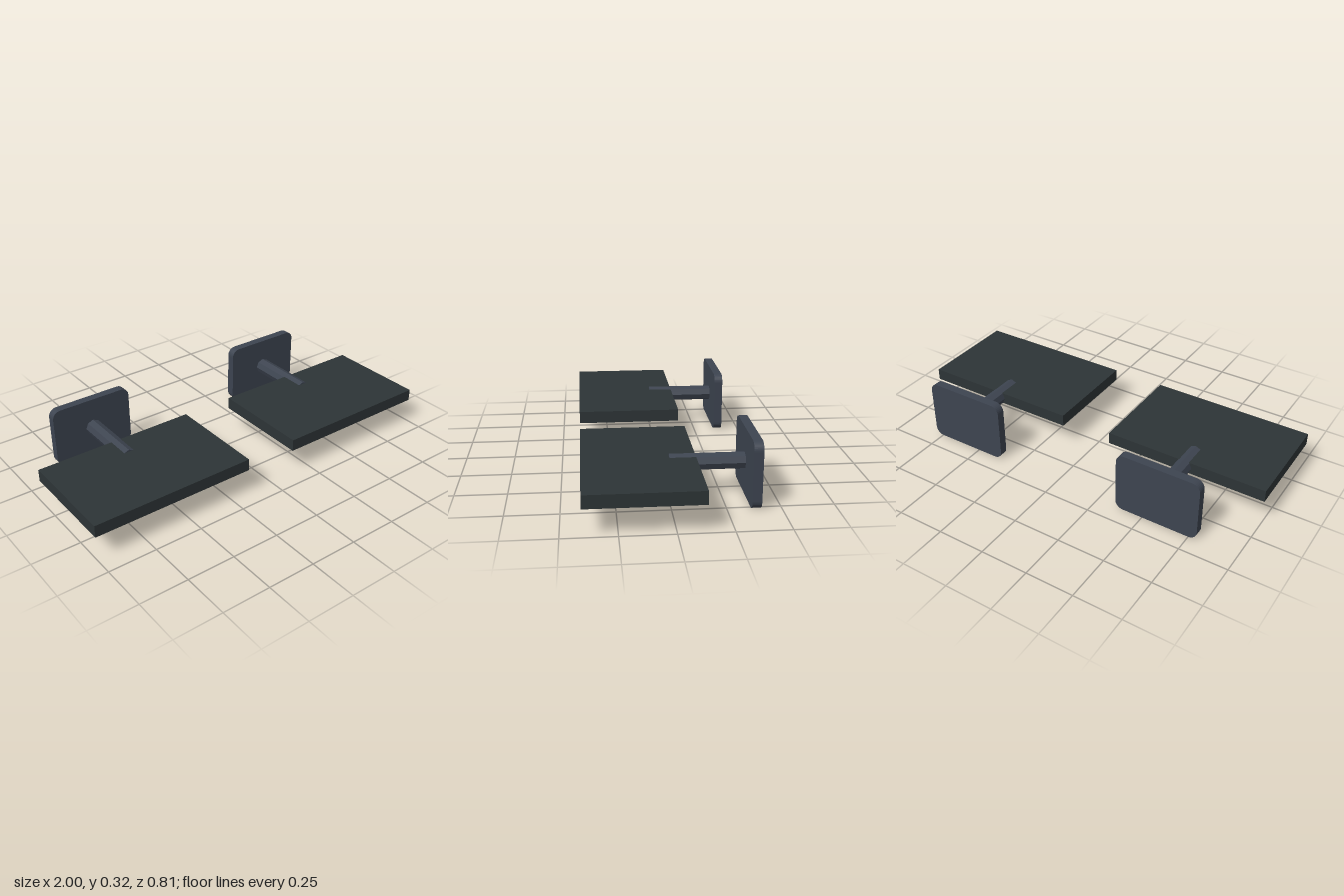
import * as THREE from 'three';

const material = (color) => new THREE.MeshStandardMaterial({ color, flatShading: true });

function box(name, size, position, mat) {
  const mesh = new THREE.Mesh(new THREE.BoxGeometry(...size), mat);
  mesh.name = name;
  mesh.position.set(...position);
  return mesh;
}

// Rounded rectangle centred on the origin
function roundedRect(w, h, r) {
  const x = w / 2, y = h / 2, s = new THREE.Shape();
  s.absarc(x - r, y - r, r, 0, Math.PI / 2);
  s.absarc(-x + r, y - r, r, Math.PI / 2, Math.PI);
  s.absarc(-x + r, -y + r, r, Math.PI, Math.PI * 1.5);
  s.absarc(x - r, -y + r, r, Math.PI * 1.5, Math.PI * 2);
  s.closePath();
  return s;
}

export function createModel() {
  const model = new THREE.Group();
  model.name = 'monitorPair';
  const casing = material(0x2d3436);
  const stand = material(0x3d4450);
  const glass = material(0x3f82c8);

  for (const side of [-1, 1]) {
    const monitor = new THREE.Group();
    monitor.name = side > 0 ? 'leftMonitor' : 'rightMonitor';
    monitor.position.x = side * 0.571;

    // Flat casing with the display on its underside
    monitor.add(box('casing', [0.858, 0.063, 0.535], [0, 0.1615, 0.1375], casing));
    monitor.add(box('screen', [0.766, 0.016, 0.437], [0, 0.123, 0.139], glass));

    // Eight-sided neck running back to the base
    const neck = new THREE.Mesh(new THREE.CylinderGeometry(0.042, 0.042, 0.365, 8), stand);
    neck.name = 'neck';
    neck.rotation.x = Math.PI / 2;
    neck.position.set(0, 0.162, -0.1875);
    monitor.add(neck);

    // Upright base plate with rounded corners
    const plate = new THREE.ExtrudeGeometry(roundedRect(0.442, 0.322, 0.043), {
      depth: 0.044, bevelEnabled: false, curveSegments: 4,
    });
    const base = new THREE.Mesh(plate, stand);
    base.name = 'basePlate';
    base.position.set(0, 0.161, -0.405);
    monitor.add(base);

    model.add(monitor);
  }
  return model;
}
